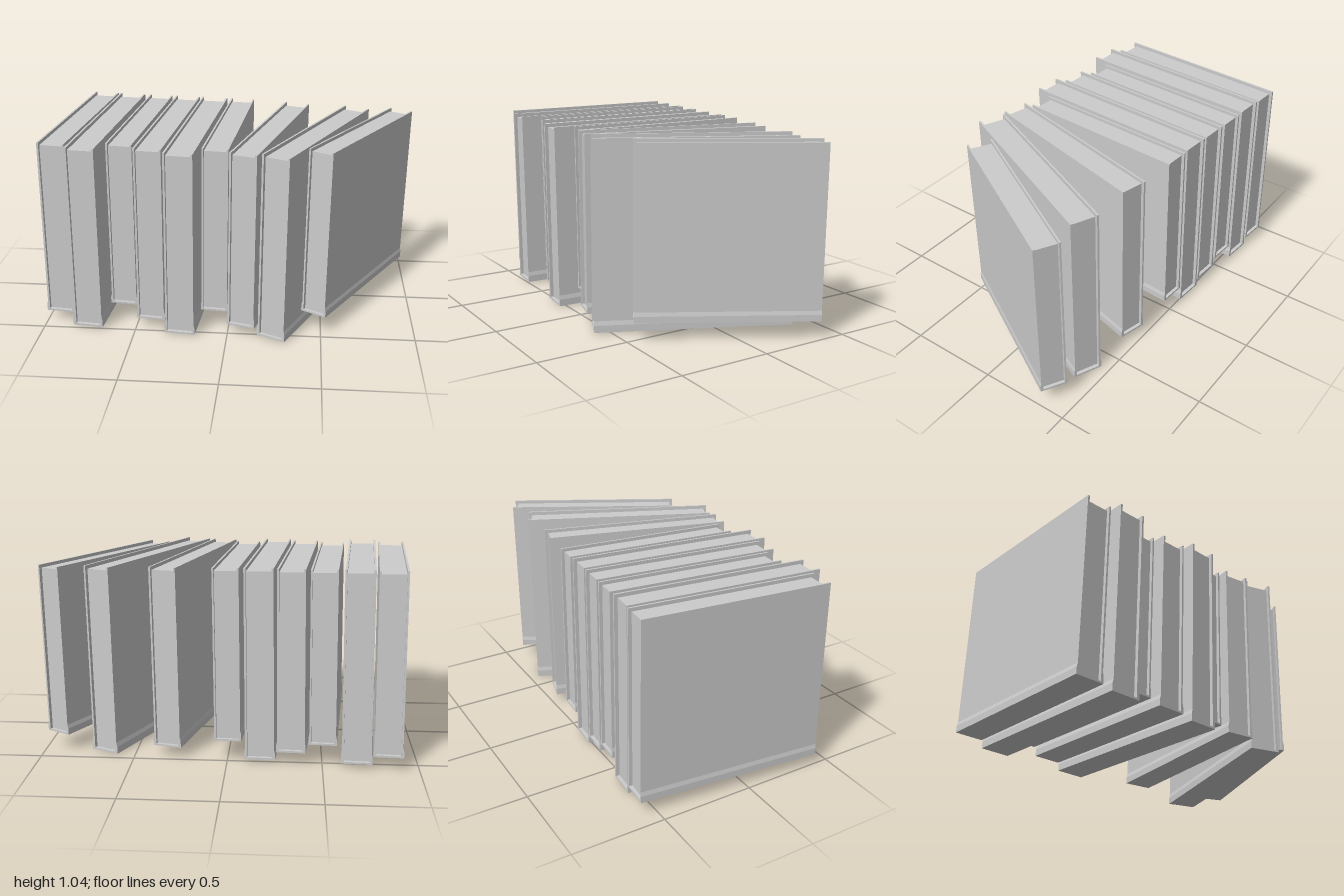
import * as THREE from 'three';

// unit book: spine down, fore-edge up, before scaling
const LENGTH = 1, HEIGHT = 0.96, HALF = 0.077;
const BOARD = 0.01, OVERHANG = 0.018, FLARE = 0.005;

// x, y of spine, z, yaw in degrees, scale, forward lean
const BOOKS = [
  [-0.878, 0.062, -0.074, 4.8, 1.01, 0.013],
  [-0.715, 0.014, -0.032, 4.5, 1.06, 0.013],
  [-0.534, 0.11, -0.072, 4.5, 0.957, 0.013],
  [-0.374, 0.058, -0.032, 4.7, 1.01, 0.013],
  [-0.21, 0.01, 0.006, 4.5, 1.06, 0.013],
  [-0.036, 0.107, -0.035, 4.4, 0.957, 0.013],
  [0.2, 0.052, 0.022, 14.5, 1.01, 0.006],
  [0.455, 0.001, 0.059, 24.4, 1.06, 0],
  [0.695, 0.097, 0.013, 29.5, 0.957, 0],
];

// U-shaped cover section: two boards joined by a slightly wider spine
function coverGeometry() {
  const outer = [
    [HALF, 0], [HALF, 0.036], [HALF - FLARE, 0.058], [HALF - FLARE, HEIGHT],
  ];
  const inner = [
    [HALF - FLARE - BOARD, HEIGHT], [HALF - FLARE - BOARD, BOARD],
  ];
  const right = [...outer, ...inner];
  const left = right.map(([x, y]) => [-x, y]).reverse();
  const shape = new THREE.Shape([...right, ...left].map(([x, y]) => new THREE.Vector2(x, y)));
  const geometry = new THREE.ExtrudeGeometry(shape, { depth: LENGTH, bevelEnabled: false });
  return geometry.translate(0, 0, -LENGTH / 2);
}

// page block, set back from the cover at the top and both ends
function pagesGeometry() {
  const height = HEIGHT - BOARD - OVERHANG;
  const geometry = new THREE.BoxGeometry(
    2 * (HALF - FLARE - BOARD), height, LENGTH - 2 * OVERHANG);
  return geometry.translate(0, BOARD + height / 2, 0);
}

export function createModel() {
  const model = new THREE.Group();
  model.name = 'bookRow';
  const gray = new THREE.MeshStandardMaterial({ color: 0xcccccc });
  gray.name = 'light gray';

  const cover = coverGeometry();
  const pages = pagesGeometry();
  const up = new THREE.Vector3(0, 1, 0);

  BOOKS.forEach(([x, y, z, yaw, scale, leanZ], i) => {
    const book = new THREE.Group();
    book.name = `book${i + 1}`;
    const coverMesh = new THREE.Mesh(cover, gray);
    coverMesh.name = 'cover';
    const pagesMesh = new THREE.Mesh(pages, gray);
    pagesMesh.name = 'pages';
    book.add(coverMesh, pagesMesh);

    // turn about the vertical, then lean a little to the side and forward
    const leanX = 0.013;
    const lean = new THREE.Vector3(leanX, 1, leanZ).normalize();
    const turn = new THREE.Quaternion().setFromAxisAngle(up, -THREE.MathUtils.degToRad(yaw));
    book.quaternion.setFromUnitVectors(up, lean).multiply(turn);
    const half = (HEIGHT * scale) / 2;
    book.position.set(x - leanX * half, y, z - leanZ * half);
    book.scale.setScalar(scale);
    model.add(book);
  });

  // stand the row on the ground, centred
  const box = new THREE.Box3().setFromObject(model, true);
  const centre = box.getCenter(new THREE.Vector3());
  model.children.forEach((book) => {
    book.position.x -= centre.x;
    book.position.y -= box.min.y;
    book.position.z -= centre.z;
  });
  return model;
}
